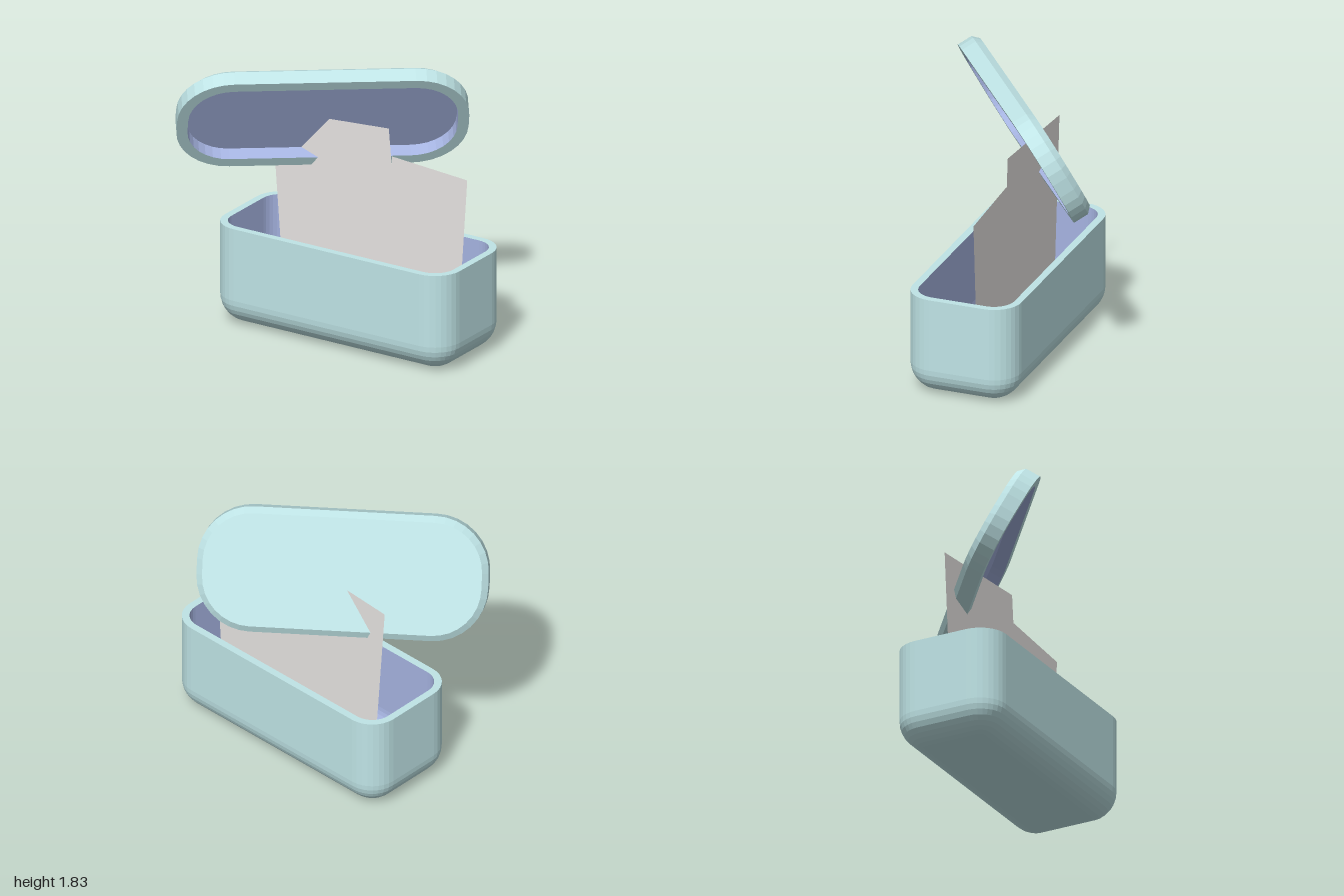
import * as THREE from 'three';

const SEG = 8; // facets per rounded corner

// One rounded-rectangle ring, counter-clockwise seen from above.
function ring([hx, hz, r, y]) {
  const pts = [];
  for (let q = 0; q < 4; q++) {
    const sx = q === 0 || q === 3 ? 1 : -1;
    const sz = q < 2 ? -1 : 1;
    for (let k = 0; k <= SEG; k++) {
      const t = (q + k / SEG) * Math.PI / 2;
      pts.push([sx * (hx - r) + r * Math.cos(t), y, sz * (hz - r) - r * Math.sin(t)]);
    }
  }
  return pts;
}

// Faceted skin through a list of rings [halfX, halfZ, cornerRadius, y].
function loft(name, profile, material) {
  const rings = profile.map(ring);
  const pos = [];
  const same = (p, q) => Math.hypot(p[0] - q[0], p[1] - q[1], p[2] - q[2]) < 1e-6;
  const tri = (a, b, c) => {
    if (!same(a, b) && !same(b, c) && !same(c, a)) pos.push(...a, ...b, ...c);
  };
  for (let i = 0; i + 1 < rings.length; i++) {
    const lo = rings[i], hi = rings[i + 1], n = lo.length;
    for (let j = 0; j < n; j++) {
      const k = (j + 1) % n;
      tri(lo[j], lo[k], hi[k]);
      tri(lo[j], hi[k], hi[j]);
    }
  }
  const geo = new THREE.BufferGeometry();
  geo.setAttribute('position', new THREE.Float32BufferAttribute(pos, 3));
  geo.computeVertexNormals();
  const mesh = new THREE.Mesh(geo, material);
  mesh.name = name;
  return mesh;
}

// Rounded tub profile, from the bottom centre up to the top edge.
function tub(hx, hz, r, floor, top) {
  const rows = [[0, 0, 0, floor]];
  for (let k = 0; k <= SEG; k++) {
    const t = k / SEG * Math.PI / 2;
    const inset = r * (1 - Math.sin(t));
    rows.push([hx - inset, hz - inset, r - inset, floor + r * (1 - Math.cos(t))]);
  }
  rows.push([hx, hz, r, top]);
  return rows;
}

function sheet(name, corners, z, material) {
  const shape = new THREE.Shape(corners.map(([x, y]) => new THREE.Vector2(x, y)));
  const mesh = new THREE.Mesh(new THREE.ShapeGeometry(shape), material);
  mesh.name = name;
  mesh.position.z = z;
  return mesh;
}

export function createModel() {
  const teal = new THREE.MeshStandardMaterial({ color: 0xbfe4e6 });
  teal.name = 'pale teal';
  const lavender = new THREE.MeshStandardMaterial({ color: 0xa5b3e0 });
  lavender.name = 'lavender lining';
  const paper = new THREE.MeshStandardMaterial({ color: 0xe6e3e1, side: THREE.DoubleSide });
  paper.name = 'grey paper';

  const model = new THREE.Group();
  model.name = 'openBox';

  // Box: outer shell with its flat rim, then the inner lining
  const box = new THREE.Group();
  box.name = 'box';
  box.position.x = 0.09;
  const H = 0.69, hx = 0.91, hz = 0.38, wall = 0.05, r = 0.19;
  box.add(loft('boxShell', [...tub(hx, hz, r, 0, H), [hx - wall, hz - wall, r - wall, H]], teal));
  box.add(loft('boxLining', tub(hx - wall, hz - wall, r - wall, wall, H).reverse(), lavender));
  model.add(box);

  // Lid: shallow tray with a bevelled outer face, floating at a tilt
  const lid = new THREE.Group();
  lid.name = 'lid';
  const a = 0.95, b = 0.411, lr = 0.36, rim = 0.072, depth = 0.105, recess = 0.09, bevel = 0.04;
  const inner = [a - rim, b - rim, lr - rim];
  lid.add(loft('lidShell', [
    [...inner, 0],
    [a, b, lr, 0],
    [a, b, lr, depth],
    [a - bevel, b - bevel, lr - bevel, depth + bevel],
    [0, 0, 0, depth + bevel],
  ], teal));
  lid.add(loft('lidLining', [[0, 0, 0, recess], [...inner, recess], [...inner, 0]], lavender));
  const yaw = 37.5 * Math.PI / 180, tilt = 28.3 * Math.PI / 180;
  const along = new THREE.Vector3(Math.cos(yaw), 0, -Math.sin(yaw));
  const outward = new THREE.Vector3(
    -Math.cos(tilt) * Math.sin(yaw), Math.sin(tilt), -Math.cos(tilt) * Math.cos(yaw));
  along.applyAxisAngle(outward, 0.01);
  const across = new THREE.Vector3().crossVectors(along, outward);
  lid.quaternion.setFromRotationMatrix(new THREE.Matrix4().makeBasis(along, outward, across));
  lid.position.set(-0.157, 1.418, 0.043);
  model.add(lid);

  // Two upright sheets leaning apart
  model.add(sheet('leftSheet',
    [[-0.53, 0.07], [0.395, 0.13], [0.278, 1.44], [-0.63, 1.375]], -0.073, paper));
  model.add(sheet('rightSheet',
    [[0.225, 0.11], [0.808, 0.07], [0.885, 1.21], [0.303, 1.25]], -0.075, paper));

  return model;
}
